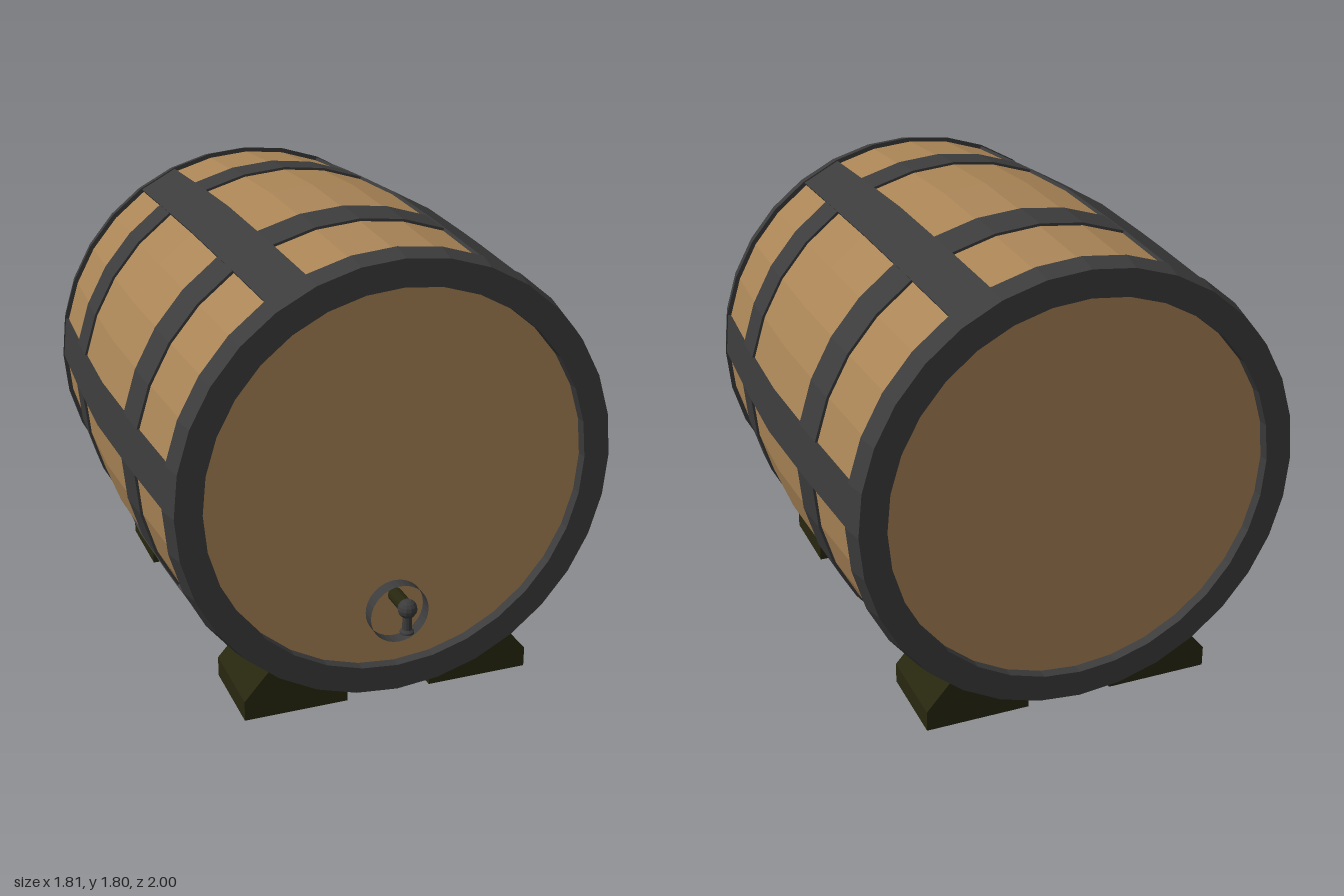
import * as THREE from 'three';

const SIDES = 32;
const STEP = (Math.PI * 2) / SIDES;
const AXIS_Y = 0.912;
const MID_Z = -0.0575;

// Barrel radius at a distance along the axis from the middle
const bulge = (d) => 0.89 - 0.03 * Math.abs(d) - 0.022 * d * d;

// Turned shape around the z axis; segment 0 starts at +x and counts upward
function turned(profile, start = 0, count = SIDES) {
  const pts = profile.map(([r, z]) => new THREE.Vector2(r, z));
  const geo = new THREE.LatheGeometry(pts, count, start * STEP + Math.PI / 2, count * STEP);
  return geo.rotateX(Math.PI / 2);
}

export function createModel() {
  const flat = (name, color, side = THREE.FrontSide) => {
    const m = new THREE.MeshStandardMaterial({ color, flatShading: true, side });
    m.name = name;
    return m;
  };
  const wood = flat('oak wood', 0xa98456);
  const iron = flat('dark iron', 0x3c3c3c, THREE.DoubleSide);
  const darkWood = flat('dark olive wood', 0x27270f);

  const model = new THREE.Group();
  model.name = 'barrel';
  const add = (name, geo, mat, parent = model) => {
    const mesh = new THREE.Mesh(geo, mat);
    mesh.name = name;
    parent.add(mesh);
    return mesh;
  };

  const cask = new THREE.Group();
  cask.name = 'cask';
  cask.position.set(0, AXIS_Y, MID_Z);
  model.add(cask);

  // Staves and recessed heads in one turned shell
  const rings = [-0.9, -0.51, -0.34, 0, 0.34, 0.51, 0.9];
  const body = rings.map((d) => [bulge(d), d]);
  add('staves', turned([[0, -0.9], ...body, [0, 0.9]]), wood, cask);

  // End rims
  for (const s of [-1, 1]) {
    const rim = [[0.743, 0.857], [0.866, 0.857], [0.846, 0.9425], [0.743, 0.9425], [0.743, 0.857]];
    const profile = rim.map(([r, d]) => [r, d * s]);
    if (s < 0) profile.reverse();
    add(s > 0 ? 'frontRim' : 'backRim', turned(profile), iron, cask);
  }

  // Two hoops around the belly
  const hoopT = 0.01;
  for (const s of [-1, 1]) {
    const [a, b] = s > 0 ? [0.34, 0.51] : [-0.51, -0.34];
    add('hoop', turned([
      [bulge(a) - 0.01, a], [bulge(a) + hoopT, a], [bulge(b) + hoopT, b], [bulge(b) - 0.01, b],
    ]), iron, cask);
  }

  // Lengthwise straps: [first segment, segment count]
  const straps = [[0, 1], [5, 1], [10, 1], [15, 1], [19, 1], [23, 2], [27, 1]];
  const along = [-0.86, -0.51, -0.34, 0, 0.34, 0.51, 0.86];
  const strapT = 0.013;
  for (const [start, count] of straps) {
    const outer = along.map((d) => [bulge(d) + strapT, d]);
    add('strap', turned(outer, start, count), iron, cask);
    // Thin side edges of the strap
    for (const k of [start, start + count]) {
      const edge = new THREE.Shape([
        ...along.map((d) => new THREE.Vector2(bulge(d) + strapT, d)),
        ...along.slice().reverse().map((d) => new THREE.Vector2(bulge(d) - 0.01, d)),
      ]);
      add('strapEdge', new THREE.ShapeGeometry(edge).rotateX(Math.PI / 2).rotateZ(k * STEP), iron, cask);
    }
  }

  // Four feet
  const footShape = (s) => new THREE.Shape(
    [[0.17, 0], [0.58, 0], [0.58, 0.08], [0.475, 0.2], [0.17, 0.06]]
      .map(([x, y]) => new THREE.Vector2(x * s, y)));
  for (const s of [-1, 1]) {
    for (const z of [0.455, -0.91]) {
      const geo = new THREE.ExtrudeGeometry(footShape(s), { depth: 0.345, bevelEnabled: false });
      add('foot', geo.translate(0, 0, z), darkWood);
    }
  }

  // Tap on the front head
  const tap = new THREE.Group();
  tap.name = 'tap';
  model.add(tap);
  const collar = new THREE.CylinderGeometry(0.116, 0.116, 0.055, 32, 1, true).rotateX(Math.PI / 2);
  add('tapCollar', collar, iron, tap).position.set(0, 0.392, 0.868);
  const stem = new THREE.CylinderGeometry(0.028, 0.028, 0.12, 12).rotateX(Math.PI / 2);
  add('tapStem', stem, darkWood, tap).position.set(0, 0.45, 0.895);
  add('tapBall', new THREE.SphereGeometry(0.037, 12, 8), iron, tap).position.set(0, 0.45, 0.963);
  const spout = [[0, 0.35], [0.027, 0.35], [0.027, 0.358], [0.018, 0.366], [0.018, 0.43]];
  add('tapSpout', new THREE.LatheGeometry(spout.map(([r, y]) => new THREE.Vector2(r, y)), 12), iron, tap)
    .position.set(0, 0, 0.963);

  return model;
}
